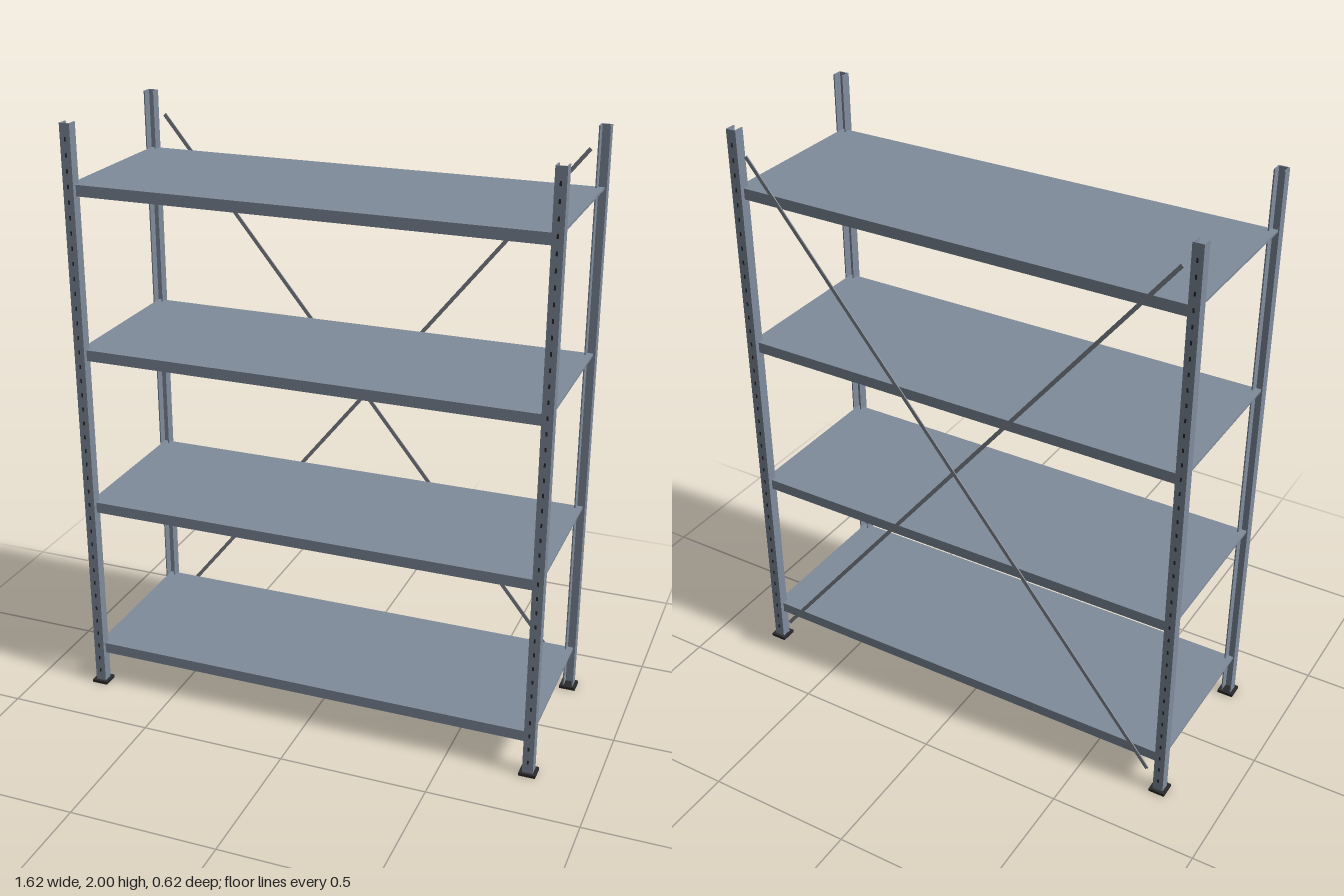
import * as THREE from 'three';

const H = 2;          // post height
const PX = 0.78;      // post centre in x
const PZ = 0.28;      // post centre in z
const W = 0.036;      // post width
const T = 0.004;      // sheet thickness
const LEVELS = [0.15, 0.7, 1.25, 1.8];

export function createModel() {
  const steel = new THREE.MeshStandardMaterial({ color: 0x808c9c });
  steel.name = 'blue grey steel';
  const zinc = new THREE.MeshStandardMaterial({ color: 0x868b94 });
  zinc.name = 'zinc brace';
  const black = new THREE.MeshStandardMaterial({ color: 0x2a2a2c });
  black.name = 'black plastic';

  const root = new THREE.Group();
  root.name = 'shelvingRack';

  const add = (parent, name, geo, mat, x, y, z) => {
    const m = new THREE.Mesh(geo, mat);
    m.name = name;
    m.position.set(x, y, z);
    parent.add(m);
    return m;
  };

  // U channel section, open towards the inside of the rack (shape -y becomes +z)
  const h = W / 2;
  const section = new THREE.Shape([
    [-h, -h], [h, -h], [h, h], [h - T, h], [h - T, -h + T],
    [-h + T, -h + T], [-h + T, h], [-h, h],
  ].map(([x, y]) => new THREE.Vector2(x, y)));
  const postGeo = new THREE.ExtrudeGeometry(section, { depth: H - 0.004, bevelEnabled: false });
  postGeo.rotateX(-Math.PI / 2);

  const footGeo = new THREE.BoxGeometry(0.056, 0.01, 0.056);
  const slotGeo = new THREE.BoxGeometry(0.006, 0.014, 0.001);

  // Four posts, each with a foot plate and a row of slots on its outer face
  for (const sx of [-1, 1]) {
    for (const sz of [-1, 1]) {
      const post = new THREE.Group();
      post.name = `${sz > 0 ? 'front' : 'back'}${sx > 0 ? 'Left' : 'Right'}Post`;
      post.position.set(sx * PX, 0, sz * PZ);
      if (sz < 0) post.rotation.y = Math.PI;
      add(post, 'channel', postGeo, steel, 0, 0.004, 0);
      add(post, 'foot', footGeo, black, 0, 0.005, 0);
      for (let y = 0.05; y < H - 0.02; y += 0.05) {
        add(post, 'slot', slotGeo, black, 0, y, h);
      }
      root.add(post);
    }
  }

  // Shelves with a beam along the front and the back
  const panelGeo = new THREE.BoxGeometry(1.574, 0.008, 0.566);
  const beamGeo = new THREE.BoxGeometry(2 * (PX - h), 0.034, 0.012);
  for (const y of LEVELS) {
    const shelf = new THREE.Group();
    shelf.name = 'shelf';
    add(shelf, 'panel', panelGeo, steel, 0, y + 0.001, 0);
    for (const sz of [-1, 1]) add(shelf, 'beam', beamGeo, steel, 0, y - 0.015, sz * 0.277);
    root.add(shelf);
  }

  // Crossed flat braces on the back
  const dx = 1.47, dy = 1.84;
  const braceGeo = new THREE.BoxGeometry(Math.hypot(dx, dy), 0.013, 0.004);
  for (const s of [-1, 1]) {
    const brace = add(root, 'crossBrace', braceGeo, zinc, 0, 1, -0.29 - s * 0.0022);
    brace.rotation.z = s * Math.atan2(dy, dx);
  }
  return root;
}
